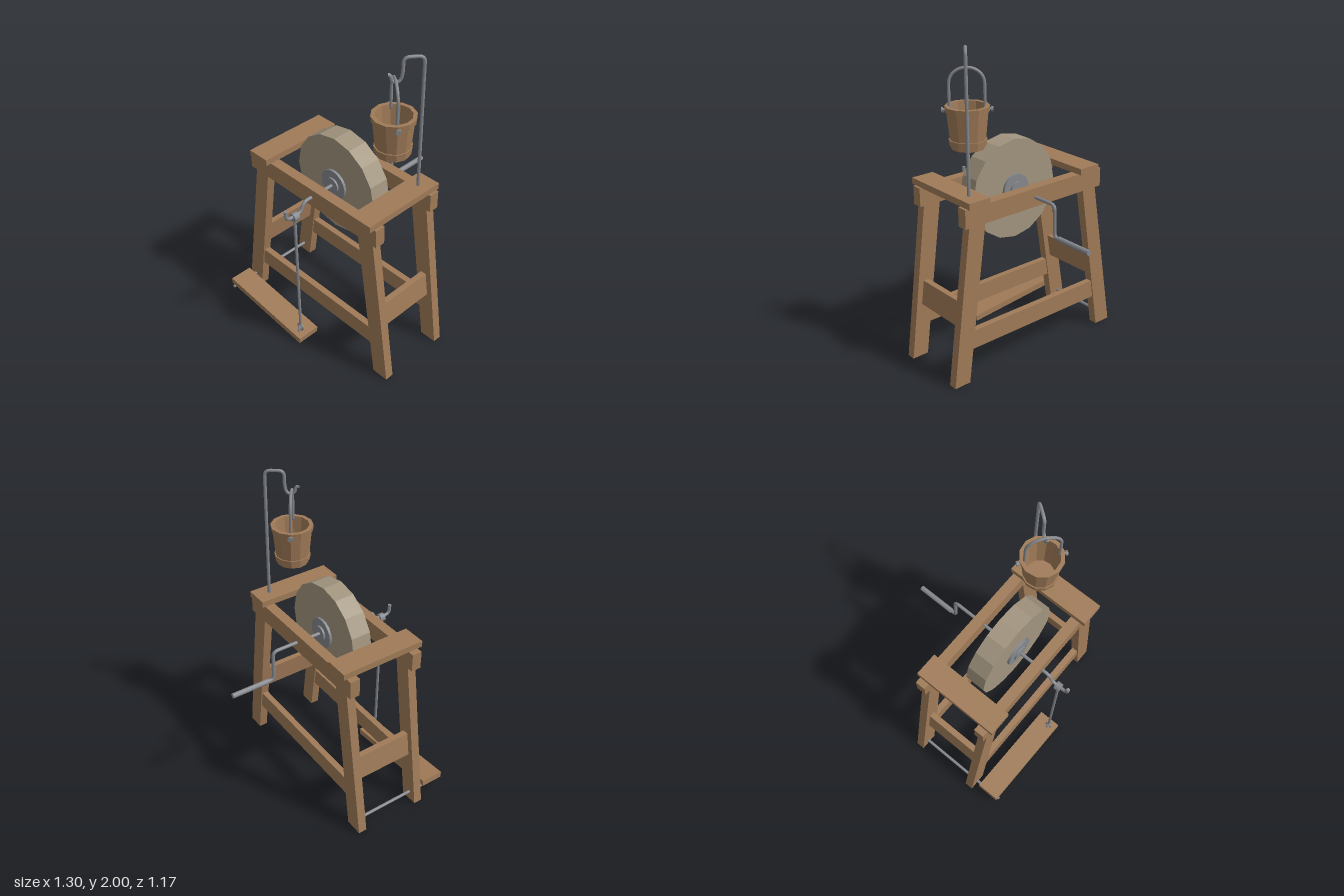
import * as THREE from 'three';

const WOOD = new THREE.MeshStandardMaterial({ color: 0xa07b58, flatShading: true, side: THREE.DoubleSide });
const STONE = new THREE.MeshStandardMaterial({ color: 0xa2957f, flatShading: true });
const METAL = new THREE.MeshStandardMaterial({ color: 0x85888d });
const AXLE_X = 0.022, AXLE_Y = 1.066;

export function createModel() {
  const root = new THREE.Group();

  const add = (name, geometry, material, x = 0, y = 0, z = 0, parent = root) => {
    const mesh = new THREE.Mesh(geometry, material);
    mesh.name = name;
    mesh.position.set(x, y, z);
    parent.add(mesh);
    return mesh;
  };
  // Box given by its extents along each axis
  const beam = (name, [x0, x1], [y0, y1], [z0, z1]) =>
    add(name, new THREE.BoxGeometry(x1 - x0, y1 - y0, z1 - z0), WOOD, (x0 + x1) / 2, (y0 + y1) / 2, (z0 + z1) / 2);
  // Outline in x-y, extruded from z0 to z1
  const slab = (name, points, z0, z1) => {
    const shape = new THREE.Shape(points.map(([x, y]) => new THREE.Vector2(x, y)));
    return add(name, new THREE.ExtrudeGeometry(shape, { depth: z1 - z0, bevelEnabled: false }), WOOD, 0, 0, z0);
  };
  // Cylinder along z
  const drum = (name, r, z0, z1, x, y, material, sides = 16) =>
    add(name, new THREE.CylinderGeometry(r, r, z1 - z0, sides).rotateX(Math.PI / 2), material, x, y, (z0 + z1) / 2);
  // Bent round bar with rounded corners and closed ends
  const bar = (name, points, radius, bend, parent = root) => {
    const p = points.map((q) => new THREE.Vector3(...q));
    const path = new THREE.CurvePath();
    let from = p[0];
    for (let i = 1; i < p.length - 1; i++) {
      const cut = (q) => p[i].clone().lerp(q, Math.min(0.49, bend / p[i].distanceTo(q)));
      const a = cut(p[i - 1]), b = cut(p[i + 1]);
      path.add(new THREE.LineCurve3(from, a));
      path.add(new THREE.QuadraticBezierCurve3(a, p[i], b));
      from = b;
    }
    path.add(new THREE.LineCurve3(from, p[p.length - 1]));
    add(name, new THREE.TubeGeometry(path, 140, radius, 8), METAL, 0, 0, 0, parent);
    for (const [end, next] of [[p[0], p[1]], [p[p.length - 1], p[p.length - 2]]]) {
      const cap = add(name + 'End', new THREE.CircleGeometry(radius, 8), METAL, end.x, end.y, end.z, parent);
      cap.lookAt(end.clone().multiplyScalar(2).sub(next));
    }
  };

  // Splayed leg edges: x at floor and slope of each edge
  const legs = [
    { outer: (y) => -0.65 + 0.168 * y, inner: (y) => -0.535 + 0.158 * y },
    { outer: (y) => 0.647 - 0.132 * y, inner: (y) => 0.537 - 0.137 * y },
  ];
  const middle = (leg, y) => (leg.outer(y) + leg.inner(y)) / 2;

  // Two side frames: legs, top rail and lower rail
  for (const [side, zc] of [['front', 0.344], ['back', -0.098]]) {
    for (const leg of legs) {
      const top = 1.1;
      slab(side + 'Leg', [[leg.outer(0), 0], [leg.inner(0), 0], [leg.inner(top), top], [leg.outer(top), top]],
        zc - 0.028, zc + 0.028);
    }
    beam(side + 'TopRail', [-0.522, 0.543], [1.005, 1.123], [zc - 0.0325, zc + 0.0325]);
    const [l, r] = legs;
    slab(side + 'LowerRail', [[l.inner(0.215), 0.215], [r.inner(0.215), 0.215], [r.inner(0.335), 0.335], [l.inner(0.335), 0.335]],
      zc - 0.02, zc + 0.02);
  }

  // End stretchers follow the slope of the legs
  for (const leg of legs) {
    const a = middle(leg, 0.36), b = middle(leg, 0.515), t = 0.019;
    slab('endStretcher', [[a - t, 0.36], [a + t, 0.36], [b + t, 0.515], [b - t, 0.515]], -0.072, 0.32);
  }

  // Planks across the top
  beam('rightCrossPlank', [-0.483, -0.333], [1.122, 1.162], [-0.15, 0.41]);
  beam('leftCrossPlank', [0.377, 0.527], [1.122, 1.162], [-0.15, 0.41]);

  // Grinding wheel with stepped hub plates
  drum('grindstone', 0.3165, 0.058, 0.189, AXLE_X, AXLE_Y, STONE);
  drum('hubPlate', 0.097, 0.042, 0.205, AXLE_X, AXLE_Y, METAL);
  drum('hubBoss', 0.049, 0.03, 0.217, AXLE_X, AXLE_Y, METAL);

  // Axle, bent into a foot crank in front and a hand crank behind
  bar('crankAxle', [
    [0.572, 1.07], [0.57, 1.004], [0.458, 1.004], [0.435, AXLE_Y], [-0.298, AXLE_Y], [-0.3, 0.864], [-0.345, 0.864],
  ].map(([z, y]) => [AXLE_X, y, z]), 0.011, 0.035);
  drum('crankHandle', 0.0165, -0.585, -0.335, AXLE_X, 0.864, METAL, 12);

  // Connecting rod between crank and pedal
  drum('rodBearing', 0.028, 0.488, 0.524, AXLE_X, 0.997, METAL, 12);
  add('connectingRod', new THREE.CylinderGeometry(0.009, 0.009, 0.87, 8), METAL, AXLE_X, 0.55, 0.507);
  add('rodRing', new THREE.TorusGeometry(0.022, 0.007, 6, 16), METAL, AXLE_X, 0.093, 0.507);
  add('pedalEye', new THREE.TorusGeometry(0.02, 0.006, 6, 16).rotateY(Math.PI / 2), METAL, AXLE_X, 0.07, 0.507);

  // Foot pedal on its pivot bar
  const pedal = add('pedal', new THREE.BoxGeometry(0.685, 0.04, 0.15), WOOD, -0.274, 0.064, 0.484);
  pedal.rotation.z = -0.093;
  drum('pedalPivot', 0.01, -0.11, 0.566, -0.592, 0.06, METAL, 8);

  // Hanger: local x runs from the pole towards the hook
  const hanger = new THREE.Group();
  hanger.name = 'bucketHanger';
  hanger.position.set(0.455, 0, -0.053);
  hanger.rotation.y = Math.atan2(-0.8, -0.6);
  root.add(hanger);
  bar('hangerPole', [
    [0, 1.13, 0], [0, 1.99, 0], [0.112, 1.99, 0], [0.112, 1.9, 0], [0.125, 1.848, 0], [0.168, 1.848, 0], [0.178, 1.893, 0], [0.192, 1.893, 0],
  ], 0.01, 0.035, hanger);

  // Bucket: staved wall with floor, two hoops and a bail
  const bucket = new THREE.Group();
  bucket.name = 'bucket';
  bucket.position.set(0.362, 0, 0.066);
  bucket.rotation.y = Math.atan2(-0.8, -0.6);
  root.add(bucket);
  const lathe = (name, profile, material) =>
    add(name, new THREE.LatheGeometry(profile.map(([r, y]) => new THREE.Vector2(r, y)), 12), material, 0, 0, 0, bucket);
  lathe('bucketBody', [[0, 1.4], [0.098, 1.4], [0.122, 1.648], [0.105, 1.648], [0.084, 1.425], [0, 1.425]], WOOD);
  for (const [y0, y1] of [[1.418, 1.455], [1.613, 1.648]]) {
    const r = (y) => 0.098 + (y - 1.4) * 0.097;
    lathe('bucketHoop', [[r(y0) - 0.004, y0], [r(y0) + 0.007, y0], [r(y1) + 0.007, y1], [r(y1) - 0.004, y1]], WOOD);
  }
  const bail = [[0, 1.625, -0.138], [0, 1.625, -0.1]];
  for (let i = 0; i <= 10; i++) {
    const a = (i / 10) * Math.PI;
    bail.push([0, 1.775 + 0.088 * Math.sin(a), -0.1 * Math.cos(a)]);
  }
  bail.push([0, 1.625, 0.1], [0, 1.625, 0.138]);
  bar('bucketBail', bail, 0.009, 0.012, bucket);
  for (const s of [-1, 1])
    add('bailPinHead', new THREE.CylinderGeometry(0.016, 0.016, 0.012, 10).rotateX(Math.PI / 2), METAL, 0, 1.625, s * 0.14, bucket);

  return root;
}
